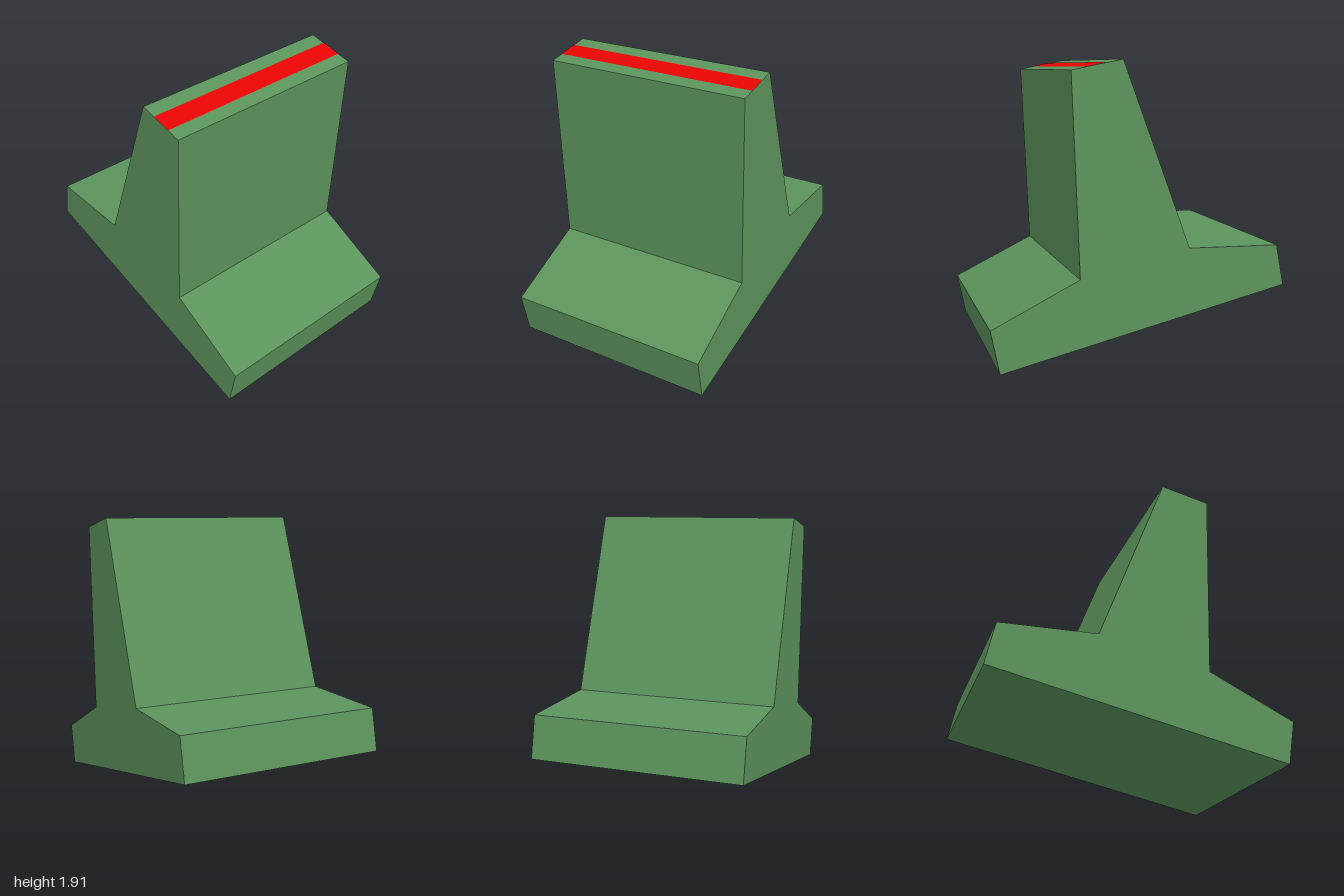
import * as THREE from 'three';

const WIDTH = 1.41;

export function createModel() {
  const green = new THREE.MeshStandardMaterial({ color: 0x5c935c });
  green.name = 'green body';
  const red = new THREE.MeshStandardMaterial({ color: 0xf20404 });
  red.name = 'red stripe';

  const group = new THREE.Group();
  group.name = 'tiltedBlock';

  // Side profile as (z, y): sloping base with a tapered upright
  const frontTop = new THREE.Vector2(0.48, 1.845);
  const backTop = new THREE.Vector2(0.15, 1.91);
  const profile = [
    [0.945, 0], [1, 0.285], [0.43, 0.555], frontTop.toArray(),
    backTop.toArray(), [-0.307, 0.705], [-0.942, 0.683], [-1, 0.404],
  ].map(([z, y]) => new THREE.Vector2(z, y));

  // Body: profile extruded across the width
  const bodyGeometry = new THREE.ExtrudeGeometry(new THREE.Shape(profile), {
    depth: WIDTH, bevelEnabled: false,
  });
  bodyGeometry.translate(0, 0, -WIDTH / 2);
  bodyGeometry.rotateY(-Math.PI / 2);
  const body = new THREE.Mesh(bodyGeometry, green);
  body.name = 'body';
  group.add(body);

  // Stripe: flat face lying just above the sloping top edge
  const along = backTop.clone().sub(frontTop);
  const length = along.length();
  const slope = Math.atan2(along.y, -along.x);
  const start = 0.28, end = 0.69;
  const centre = frontTop.clone().lerp(backTop, (start + end) / 2);
  const stripeGeometry = new THREE.PlaneGeometry(WIDTH, length * (end - start));
  stripeGeometry.rotateX(-Math.PI / 2);
  stripeGeometry.translate(0, 0.002, 0);
  const stripe = new THREE.Mesh(stripeGeometry, red);
  stripe.name = 'topStripe';
  stripe.rotation.x = slope;
  stripe.position.set(0, centre.y, centre.x);
  group.add(stripe);

  return group;
}
